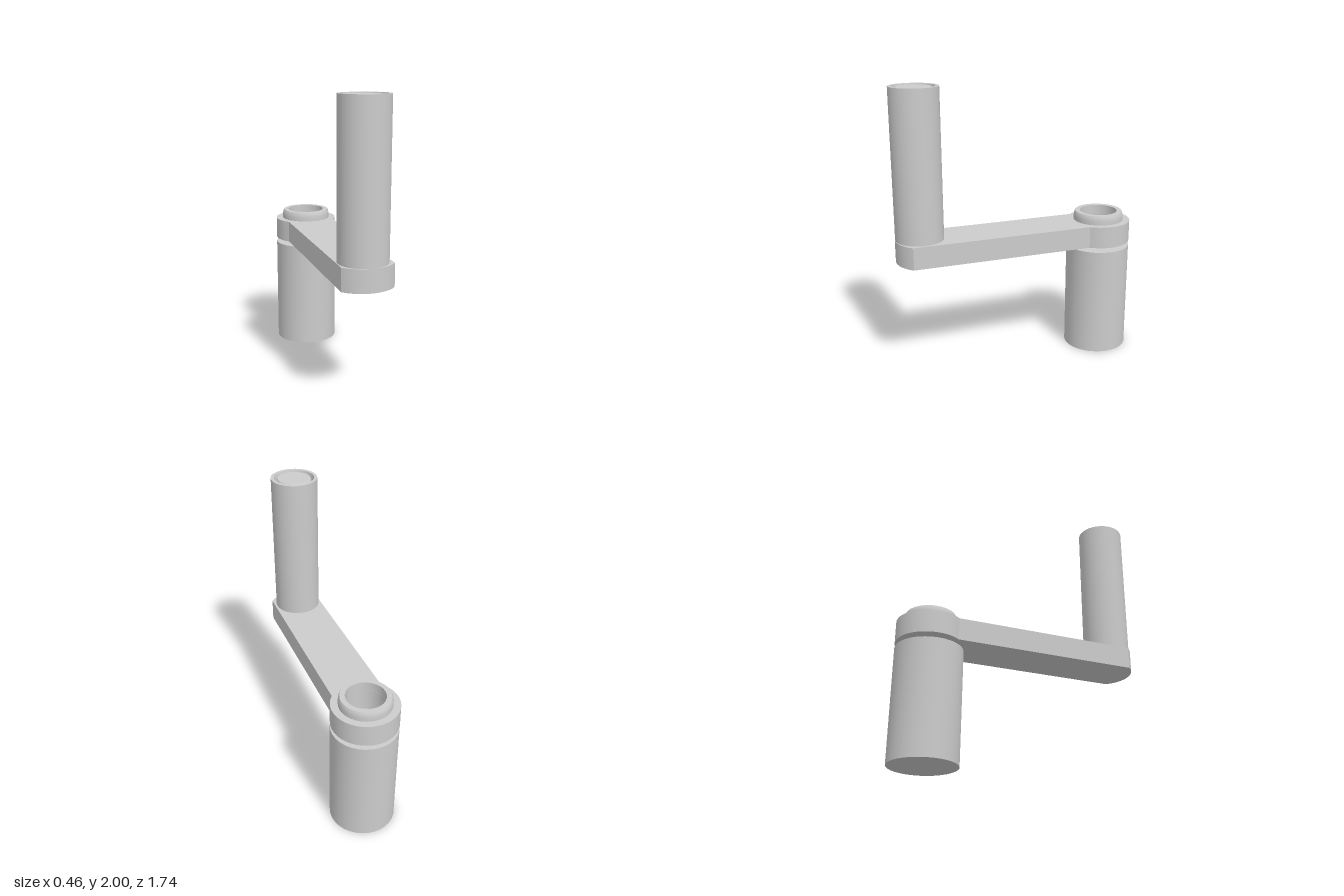
import * as THREE from 'three';
import { toCreasedNormals } from 'three/addons/utils/BufferGeometryUtils.js';

const material = new THREE.MeshStandardMaterial({ color: 0xcccccc });
const HUB_Z = 0.64, HUB_R = 0.23, ARM_W = 0.175, HOLE_R = 0.135;
const ARM_BOTTOM = 0.82, ARM_TOP = 0.975;

function part(name, geometry, x = 0, y = 0, z = 0) {
  const mesh = new THREE.Mesh(toCreasedNormals(geometry, 0.5), material);
  mesh.name = name;
  mesh.position.set(x, y, z);
  return mesh;
}

// Turned solid from [radius, height] pairs, listed from the bottom up the outside
function turned(profile, sides = 32) {
  return new THREE.LatheGeometry(profile.map(([r, y]) => new THREE.Vector2(r, y)), sides);
}

// Flat arm outline: round hub at the back, shallow arc at the front
function armGeometry() {
  const corner = Math.acos(ARM_W / HUB_R);
  const shape = new THREE.Shape();
  shape.absarc(0, HUB_Z, HUB_R, -corner, Math.PI + corner, false);
  shape.absarc(0, -HUB_Z, HUB_R, Math.PI + corner, 2 * Math.PI - corner, false);
  shape.closePath();
  const hole = new THREE.Path();
  hole.absarc(0, HUB_Z, HOLE_R, 0, Math.PI * 2, true);
  shape.holes.push(hole);
  const geometry = new THREE.ExtrudeGeometry(shape, {
    depth: ARM_TOP - ARM_BOTTOM, bevelEnabled: false, curveSegments: 14,
  });
  return geometry.rotateX(-Math.PI / 2);
}

export function createModel() {
  const group = new THREE.Group();
  group.name = 'crank';

  // Lower shaft, separated from the arm by a narrow gap
  group.add(part('shaft', new THREE.CylinderGeometry(HUB_R, HUB_R, 0.785, 32), 0, 0.3925, -HUB_Z));

  group.add(part('arm', armGeometry(), 0, ARM_BOTTOM, 0));

  // Raised collar with a softened top edge around the open bore
  group.add(part('hubCollar', turned([
    [0.18, ARM_TOP], [0.18, 1.005], [0.177, 1.025], [0.17, 1.04],
    [HOLE_R, 1.04], [HOLE_R, ARM_TOP],
  ]), 0, 0, -HUB_Z));

  // Grip with a grooved end and a central button
  group.add(part('handle', turned([
    [0, ARM_TOP], [0.165, ARM_TOP], [0.165, 2], [0.142, 2], [0.132, 1.96],
    [0.122, 1.96], [0.122, 1.985], [0.115, 1.995], [0, 1.995],
  ]), -0.005, 0, 0.703));

  return group;
}
